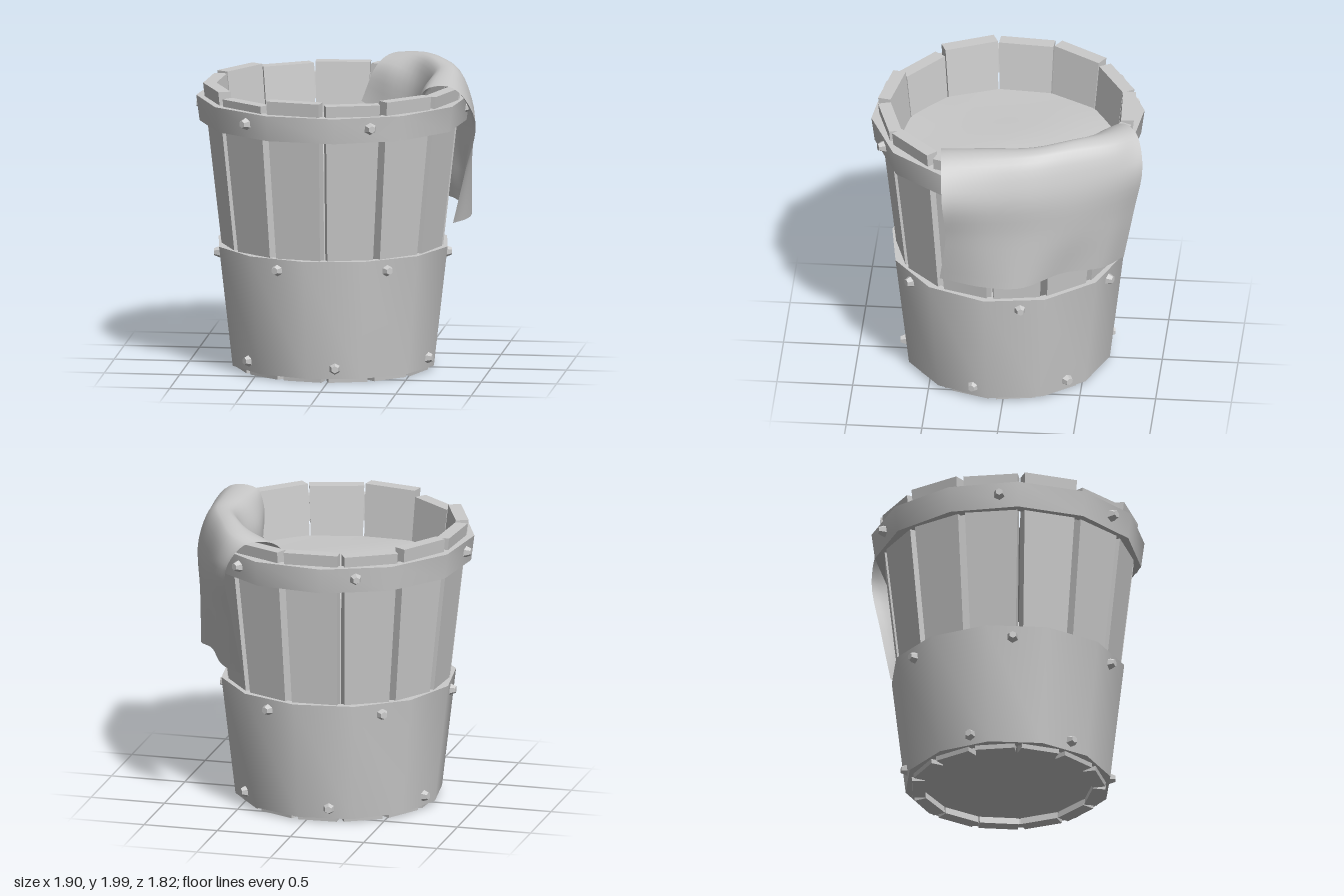
import * as THREE from 'three';
import { toCreasedNormals } from 'three/addons/utils/BufferGeometryUtils.js';
import { ParametricGeometry } from 'three/addons/geometries/ParametricGeometry.js';

const DEG = Math.PI / 180;
const HOOP_SIDES = 12;

// top heights of the thirteen staves, counted from the front toward +x
const STAVE_HEIGHTS = [1.885, 1.9, 1.89, 1.885, 1.88, 1.885, 1.89, 1.88, 1.9, 1.89, 1.9, 1.86, 1.9];
const HALF_STAVE = Math.PI / STAVE_HEIGHTS.length;
const FIRST_SEAM = 2.7 * DEG;

// distance from the axis to the staves' inner faces at a height
const innerApothem = (y) => 0.543 + 0.11 * y;

export function createModel() {
  const group = new THREE.Group();
  const mat = new THREE.MeshStandardMaterial({ color: 0xcccccc });
  const flat = new THREE.MeshStandardMaterial({ color: 0xcccccc, flatShading: true });
  const thin = new THREE.MeshStandardMaterial({ color: 0xcccccc, side: THREE.DoubleSide });

  const add = (parent, name, geometry, material) => {
    const mesh = new THREE.Mesh(geometry, material);
    mesh.name = name;
    parent.add(mesh);
    return mesh;
  };

  // the bucket stands slightly off centre because the cloth hangs over one side
  const bucket = new THREE.Group();
  bucket.name = 'bucket';
  bucket.position.set(-0.045, 0, 0.022);
  group.add(bucket);

  // staves: boxes that lean outward and widen toward the top
  STAVE_HEIGHTS.forEach((h, i) => {
    const g = new THREE.BoxGeometry(1, h, 0.085);
    const p = g.attributes.position;
    for (let k = 0; k < p.count; k++) {
      const y = p.getY(k) + h / 2;
      const a = innerApothem(y);
      const width = 2 * a * Math.tan(HALF_STAVE) - 0.008;
      p.setXYZ(k, p.getX(k) * width, y, p.getZ(k) + 0.0425 + a);
    }
    const stave = add(bucket, 'stave', g, flat);
    stave.rotation.y = FIRST_SEAM + (2 * i + 1) * HALF_STAVE;
  });

  // twelve-sided hoops around the staves
  const hoop = (name, phase, y0, r0, y1, r1, t) => {
    const profile = [[r0 - t, y0], [r0, y0], [r1, y1], [r1 - t, y1], [r0 - t, y0]]
      .map(([x, y]) => new THREE.Vector2(x, y));
    const g = new THREE.LatheGeometry(profile, HOOP_SIDES, phase * DEG);
    add(bucket, name, toCreasedNormals(g, 0.7), mat);
  };
  hoop('lowerBand', 23, 0.03, 0.685, 0.83, 0.778, 0.055);
  hoop('upperBand', 8, 1.64, 0.878, 1.81, 0.9, 0.07);

  // rows of faceted rivets, placed by angle around the axis
  const rivetGeo = new THREE.CylinderGeometry(0.024, 0.044, 0.05, 6).rotateX(Math.PI / 2);
  const rivetRow = (y, r, angles) => {
    for (const degrees of angles) {
      const a = degrees * DEG;
      const rivet = add(bucket, 'rivet', rivetGeo, flat);
      rivet.position.set(r * Math.sin(a), y, r * Math.cos(a));
      rivet.rotation.y = a;
    }
  };
  rivetRow(1.735, 0.88, [24, 95, 146, -157, -90, -34]);
  rivetRow(0.755, 0.757, [36, 101, 157, -142, -84, -22]);
  rivetRow(0.1, 0.683, [8.5, 75, 130, -170, -108, -48]);

  // floor, set up a little from the bottom edge
  const floor = add(bucket, 'floor', new THREE.CylinderGeometry(0.59, 0.58, 0.05, 24), mat);
  floor.position.y = 0.07;

  // contents: a gently uneven, slightly domed surface
  const fill = new THREE.RingGeometry(0.001, 0.735, 36, 8).rotateX(-Math.PI / 2);
  const fp = fill.attributes.position;
  for (let k = 0; k < fp.count; k++) {
    const x = fp.getX(k), z = fp.getZ(k);
    const dome = 0.035 * (1 - (x * x + z * z) / 0.54);
    fp.setY(k, 1.56 + dome + 0.012 * Math.sin(5 * x + 1) * Math.cos(4 * z));
  }
  fill.computeVertexNormals();
  add(bucket, 'contents', fill, thin);

  // cloth: cross-sections from inside the rim, over it, and down the outside
  const sections = [
    [[.57, 1.7, .41], [.575, 1.82, .41], [.62, 1.93, .405], [.8, 1.94, .39], [.945, 1.72, .375], [.88, 1.4, .355], [.8, 1.04, .4]],
    [[.52, 1.58, .12], [.53, 1.8, .12], [.63, 1.955, .1], [.78, 1.955, .08], [.9, 1.72, .08], [.88, 1.4, .09], [.86, 1.02, .1]],
    [[.55, 1.56, -.17], [.55, 1.8, -.18], [.62, 1.97, -.2], [.74, 1.97, -.22], [.845, 1.73, -.22], [.84, 1.4, -.2], [.85, 1.02, -.14]],
    [[.43, 1.56, -.4], [.45, 1.82, -.42], [.52, 1.985, -.46], [.63, 1.97, -.49], [.72, 1.73, -.51], [.71, 1.4, -.5], [.7, 1.06, -.4]],
    [[.22, 1.58, -.55], [.26, 1.87, -.59], [.38, 1.97, -.69], [.5, 1.95, -.74], [.59, 1.74, -.75], [.57, 1.4, -.72], [.56, 1.03, -.65]],
    [[.05, 1.64, -.68], [.15, 1.88, -.7], [.24, 1.945, -.79], [.36, 1.93, -.87], [.47, 1.76, -.91], [.44, 1.4, -.85], [.39, 1.02, -.78]],
  ];
  const toCurve = (points) => new THREE.CatmullRomCurve3(points, false, 'centripetal');
  const curves = sections.map((s) => toCurve(s.map((p) => new THREE.Vector3(...p))));
  const clothPoint = (u, v, target) =>
    target.copy(toCurve(curves.map((c) => c.getPoint(v))).getPoint(u));
  const clothGeo = new ParametricGeometry(clothPoint, 24, 30);
  clothGeo.computeVertexNormals();
  add(group, 'cloth', clothGeo, thin);

  // underside of the cloth: same sheet set inward, meeting it along the hems
  const lining = clothGeo.clone();
  const { position, normal, uv } = lining.attributes;
  for (let k = 0; k < position.count; k++) {
    const u = uv.getX(k), v = uv.getY(k);
    const d = 0.02 * Math.min(1, 15 * Math.min(u, 1 - u, v, 1 - v));
    position.setXYZ(k, position.getX(k) + d * normal.getX(k),
      position.getY(k) + d * normal.getY(k), position.getZ(k) + d * normal.getZ(k));
  }
  lining.computeVertexNormals();
  add(group, 'clothLining', lining, thin);

  return group;
}
